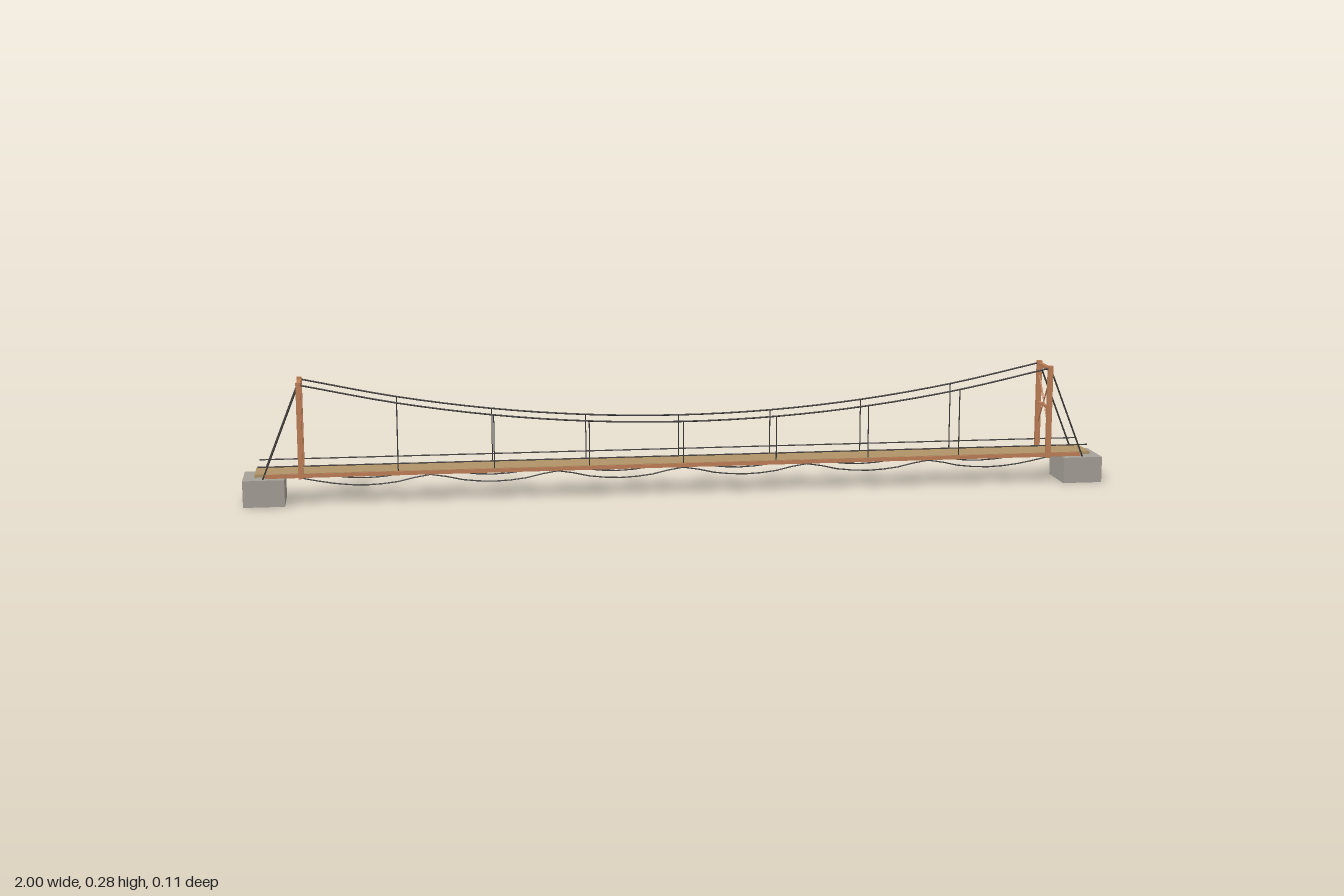
import * as THREE from 'three';

const mat = (c) => new THREE.MeshStandardMaterial({ color: c, flatShading: true });

export function createModel() {
  const model = new THREE.Group();
  const wood = mat(0xc08058), plank = mat(0xb09468), stone = mat(0xa59f97), steel = mat(0x3a3836);
  const V = (x, y, z) => new THREE.Vector3(x, y, z);

  const box = (name, w, h, d, x, y, z, m, parent = model) => {
    const b = new THREE.Mesh(new THREE.BoxGeometry(w, h, d), m);
    b.name = name;
    b.position.set(x, y, z);
    parent.add(b);
    return b;
  };
  // Straight round bar between two points
  const bar = (name, a, b, r, m, parent = model) => {
    const c = new THREE.Mesh(new THREE.CylinderGeometry(r, r, a.distanceTo(b), 6), m);
    c.name = name;
    c.position.copy(a).add(b).multiplyScalar(0.5);
    c.quaternion.setFromUnitVectors(V(0, 1, 0), b.clone().sub(a).normalize());
    parent.add(c);
  };
  // Rope through points
  const rope = (name, pts, r, segments) => {
    const t = new THREE.Mesh(new THREE.TubeGeometry(new THREE.CatmullRomCurve3(pts), segments, r, 6), steel);
    t.name = name;
    model.add(t);
  };

  const towerX = 0.87, sideZ = 0.043;
  const cableY = (x) => 0.17 + 0.105 * (x / towerX) ** 2;

  // Deck with edge stringers
  box('deck', 1.945, 0.007, 0.084, 0, 0.0695, 0, plank);

  // Abutments and towers at each end
  for (const s of [-1, 1]) {
    box('abutment', 0.093, 0.061, 0.108, s * 0.9535, 0.0305, 0, stone);
    const tower = new THREE.Group();
    tower.name = 'tower';
    tower.position.x = s * towerX;
    model.add(tower);
    for (const z of [-sideZ, sideZ]) box('towerPost', 0.011, 0.219, 0.011, 0, 0.1705, z, wood, tower);
    box('topBeam', 0.009, 0.008, 0.076, 0, 0.272, 0, wood, tower);
    box('middleBeam', 0.007, 0.005, 0.076, 0, 0.18, 0, wood, tower);
    for (const k of [-1, 1])
      bar('crossBrace', V(0, 0.135, k * 0.038), V(0, 0.245, -k * 0.038), 0.0016, wood, tower);
  }

  for (const side of [-1, 1]) {
    const z = side * sideZ;
    box('stringer', 1.9, 0.009, 0.005, 0, 0.0675, side * 0.0425, wood);

    // Main cable, hangers and backstays
    const n = 8, cable = [];
    for (let i = 0; i <= n; i++) {
      const x = -towerX + (2 * towerX * i) / n;
      cable.push(V(x, cableY(x), z));
      if (i > 0 && i < n) bar('hanger', V(x, 0.073, z), V(x, cableY(x), z), 0.0013, steel);
    }
    rope('mainCable', cable, 0.002, 32);
    for (const s of [-1, 1]) bar('backstay', V(s * towerX, 0.275, z), V(s * 0.955, 0.061, z), 0.002, steel);

    // Hand rope
    bar('handRope', V(-0.965, 0.09, z), V(0.965, 0.09, z), 0.0015, steel);

    // Scalloped rope below the deck
    const wave = [], loops = 6, steps = 4;
    for (let i = 0; i <= loops * steps; i++) {
      const t = i / steps;
      wave.push(V(-towerX + (2 * towerX * t) / loops, 0.062 - 0.02 * Math.abs(Math.sin(Math.PI * t)), side * 0.04));
    }
    rope('underRope', wave, 0.0015, 48);
  }

  return model;
}
